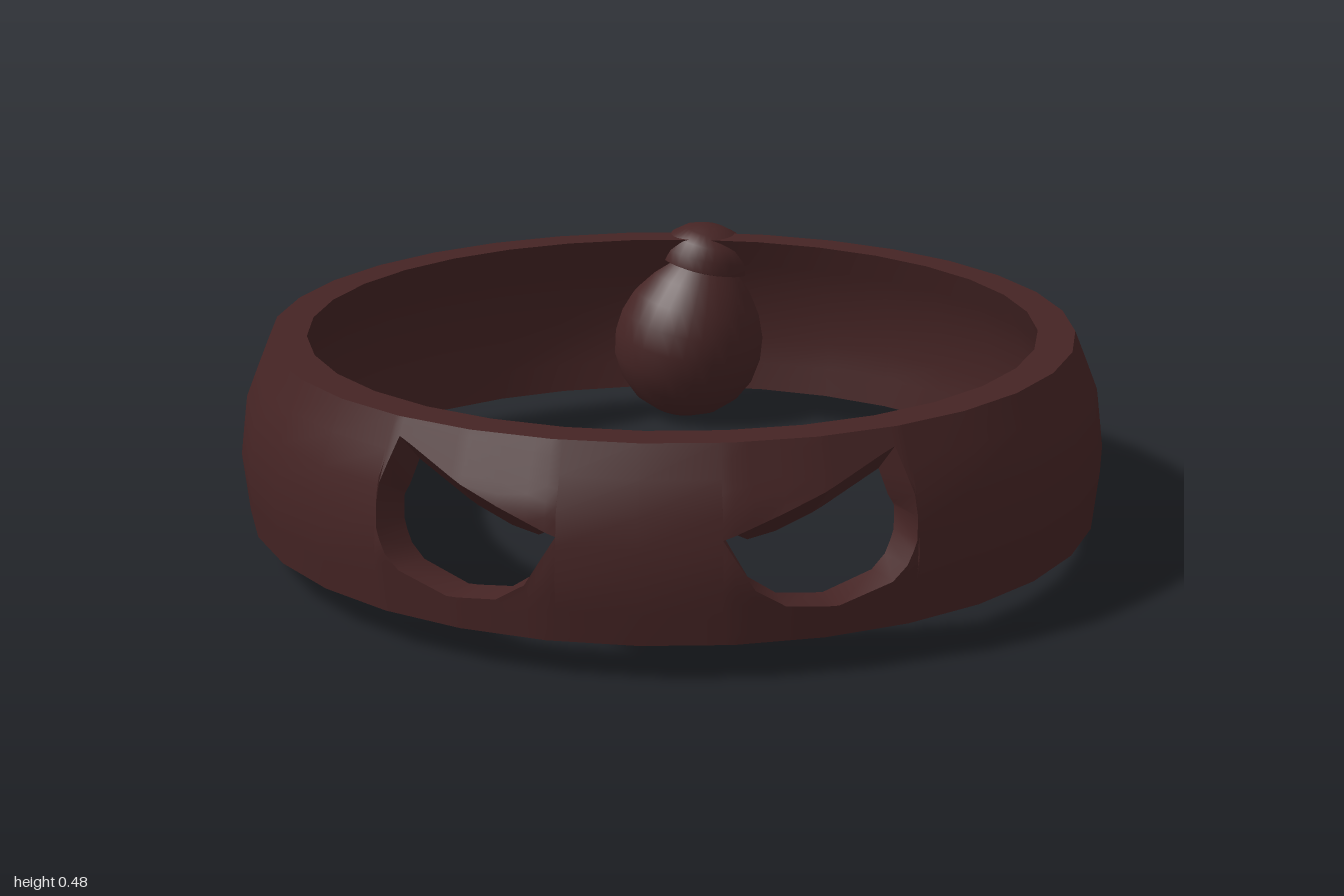
import * as THREE from 'three';
import { toCreasedNormals } from 'three/addons/utils/BufferGeometryUtils.js';

const SIDES = 32, STEP = 360 / SIDES, BAND_Z = 0.065;
const LOW = 0.08, HIGH = 0.465, THICK = 0.08, ROWS = 6;

// Outer radius of the band by height
const PROFILE = [[LOW, 0.918], [0.21, 0.932], [0.34, 0.915], [HIGH, 0.864]];
// Eye opening: [angle in degrees, lower edge, upper edge]
const EYE = [
  [9.9, 0.29, 0.29], [13.7, 0.19, 0.313], [17.5, 0.152, 0.336], [24.1, 0.143, 0.376],
  [31.1, 0.175, 0.42], [32.9, 0.205, 0.43], [34.4, 0.25, 0.34], [34.7, 0.295, 0.295],
];

function lerpTable(table, t, col) {
  for (let i = 1; i < table.length; i++) {
    const a = table[i - 1], b = table[i];
    if (t <= b[0] || i === table.length - 1) {
      const k = THREE.MathUtils.clamp((t - a[0]) / (b[0] - a[0]), 0, 1);
      return a[col] + (b[col] - a[col]) * k;
    }
  }
}

// Point on the 32-sided band
function bandPoint(deg, y, inset) {
  const off = ((deg % STEP) + STEP) % STEP - STEP / 2;
  const flat = Math.cos(Math.PI / SIDES) / Math.cos(off * Math.PI / 180);
  const r = (lerpTable(PROFILE, y, 1) - inset) * flat, a = deg * Math.PI / 180;
  return [r * Math.sin(a), y, r * Math.cos(a) + BAND_Z];
}

// Closed cross-section; drop lowers the inner side's bottom edge
function section(deg, lo, hi, drop) {
  const pts = [];
  for (let i = 0; i <= ROWS; i++) pts.push(bandPoint(deg, lo + (hi - lo) * i / ROWS, 0));
  for (let i = ROWS; i >= 0; i--) {
    const l = lo - drop;
    pts.push(bandPoint(deg, l + (hi - l) * i / ROWS, THICK));
  }
  return pts;
}

function loft(out, s0, s1) {
  s0.forEach((p, i) => {
    const j = (i + 1) % s0.length;
    out.push(...p, ...s1[i], ...s1[j], ...p, ...s1[j], ...s0[j]);
  });
}

function makeBand() {
  const first = EYE[0][0], last = EYE[EYE.length - 1][0];
  const set = new Set();
  for (let i = 0; i <= SIDES; i++) set.add(-180 + i * STEP);
  for (const [a] of EYE) set.add(a).add(-a);
  const stations = [...set].sort((a, b) => a - b);
  const upper = (a) => {
    const lo = lerpTable(EYE, Math.abs(a), 1), hi = lerpTable(EYE, Math.abs(a), 2);
    return section(a, hi, HIGH, Math.min(0.06, 0.4 * (hi - lo)));
  };
  const lower = (a) => section(a, LOW, lerpTable(EYE, Math.abs(a), 1), 0);
  const full = (a) => section(a, LOW, HIGH, 0);
  const pos = [];
  for (let i = 1; i < stations.length; i++) {
    const a = stations[i - 1], b = stations[i], mid = Math.abs((a + b) / 2);
    const parts = mid > first && mid < last ? [upper, lower] : [full];
    for (const part of parts) loft(pos, part(a), part(b));
  }
  const geo = new THREE.BufferGeometry();
  geo.setAttribute('position', new THREE.Float32BufferAttribute(pos, 3));
  return toCreasedNormals(geo, 0.6);
}

function lathe(profile, start = 0, length = Math.PI * 2) {
  const pts = profile.map(([x, y]) => new THREE.Vector2(x, y));
  return toCreasedNormals(new THREE.LatheGeometry(pts, 32, start, length), 0.7);
}

export function createModel() {
  const model = new THREE.Group();
  model.name = 'eyeMaskBand';
  const mat = new THREE.MeshStandardMaterial({ color: 0x452424, side: THREE.DoubleSide });
  const add = (parent, name, geo) => {
    const mesh = new THREE.Mesh(geo, mat);
    mesh.name = name;
    parent.add(mesh);
    return mesh;
  };

  add(model, 'headband', makeBand());

  // Knot at the back, leaning slightly to one side
  const knot = new THREE.Group();
  knot.name = 'knot';
  knot.position.set(-0.02, 0.19, -0.79);
  knot.rotation.z = -0.2;
  model.add(knot);

  add(knot, 'knotBulb', lathe([
    [0, -0.184], [0.055, -0.176], [0.105, -0.152], [0.148, -0.11], [0.175, -0.058],
    [0.184, 0], [0.178, 0.055], [0.158, 0.11], [0.125, 0.165], [0.085, 0.215], [0.07, 0.23],
  ]));
  add(knot, 'knotTip', lathe([
    [0.06, 0.19], [0.112, 0.205], [0.11, 0.235], [0.095, 0.265], [0.065, 0.288], [0.03, 0.3], [0, 0.302],
  ]));
  // Wrap covers only the outer half
  add(knot, 'knotWrap', lathe([
    [0.17, 0.06], [0.209, 0.065], [0.204, 0.11], [0.188, 0.155], [0.165, 0.195], [0.1, 0.21],
  ], Math.PI / 2, Math.PI));

  return model;
}
